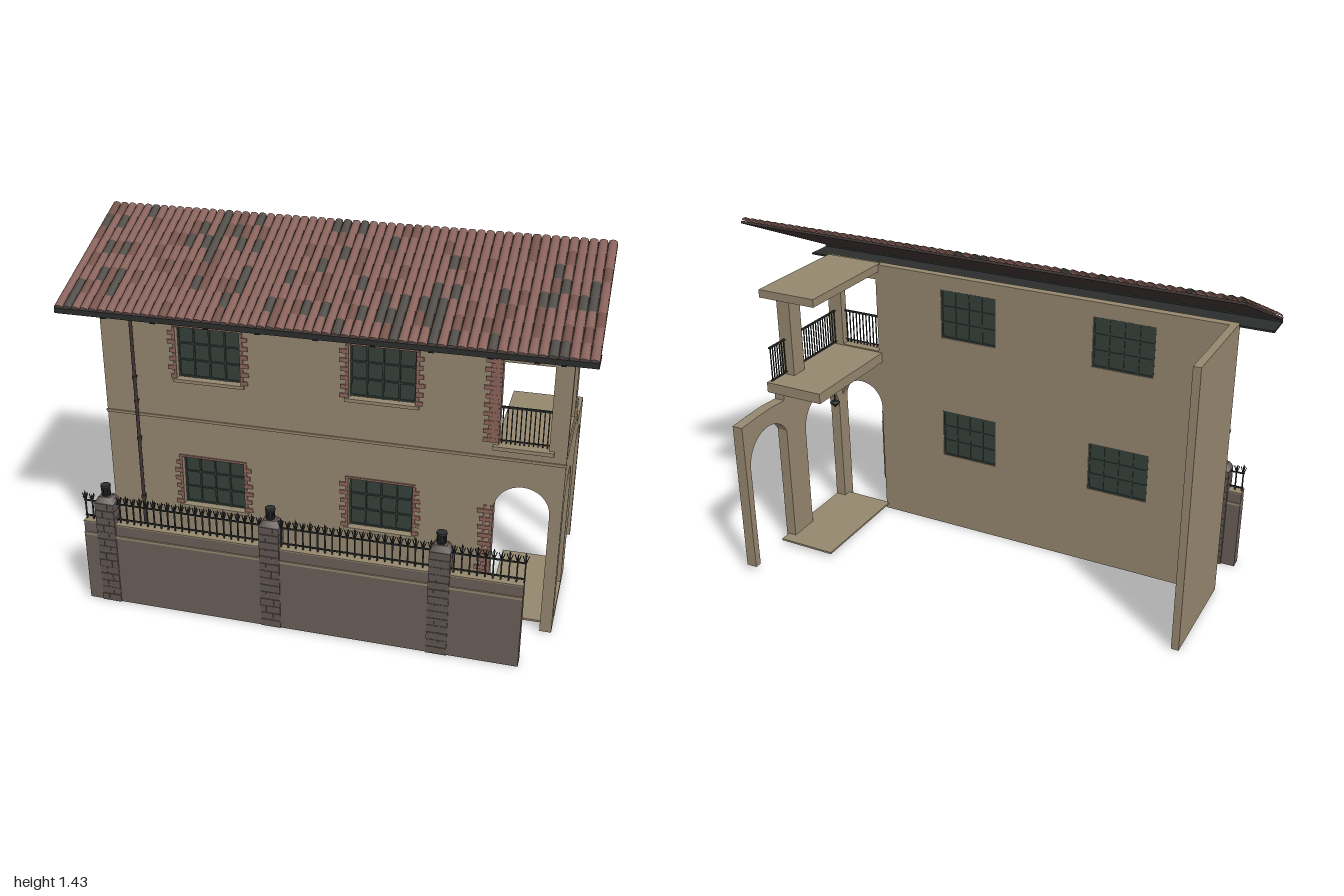
import * as THREE from 'three';
import { mergeGeometries } from 'three/addons/utils/BufferGeometryUtils.js';

const mat = (name, color, side = THREE.FrontSide) => {
  const m = new THREE.MeshStandardMaterial({ color, side });
  m.name = name;
  return m;
};

export function createModel() {
  const M = {
    plaster: mat('plaster', 0x95876f),
    stone: mat('fence stone', 0x6a5e58),
    block: mat('pillar stone', 0x5f5550),
    brick: mat('brick', 0x8a655b),
    tile: mat('terracotta tile', 0x87615a, THREE.DoubleSide),
    tileBrown: mat('brown tile', 0x735249, THREE.DoubleSide),
    tileDark: mat('weathered tile', 0x4f4b46, THREE.DoubleSide),
    deck: mat('roof timber', 0x3d3432),
    iron: mat('iron', 0x2a2e2c),
    glass: mat('window glass', 0x35403a),
  };
  const model = new THREE.Group();
  const add = (name, geo, material, parent = model) => {
    const mesh = new THREE.Mesh(Array.isArray(geo) ? mergeGeometries(geo) : geo, material);
    mesh.name = name;
    parent.add(mesh);
    return mesh;
  };
  // Box given by its limits
  const box = (x0, x1, y0, y1, z0, z1) =>
    new THREE.BoxGeometry(x1 - x0, y1 - y0, z1 - z0).translate((x0 + x1) / 2, (y0 + y1) / 2, (z0 + z1) / 2);
  const poly = (C, pts) => new C(pts.map(p => new THREE.Vector2(...p)));
  const rectPath = (a, b, c, d) => poly(THREE.Path, [[a, c], [b, c], [b, d], [a, d]]);
  const rectShape = (a, b, c, d) => poly(THREE.Shape, [[a, c], [b, c], [b, d], [a, d]]);
  const archPts = (a, b, y0, top) => {
    const r = (b - a) / 2, pts = [[a, y0]];
    for (let i = 0; i <= 16; i++) {
      const t = Math.PI * (1 - i / 16);
      pts.push([(a + b) / 2 + r * Math.cos(t), top - r + r * Math.sin(t)]);
    }
    return [...pts, [b, y0]];
  };
  const extrude = (shape, depth) => new THREE.ExtrudeGeometry(shape, { depth, bevelEnabled: false });
  // Wall drawn in (z, y) and extruded along x
  const sideWall = (shape, x0, x1) => extrude(shape, x1 - x0).rotateY(-Math.PI / 2).translate(x1, 0, 0);
  let seed = 7;
  const rand = () => (seed = (seed * 16807) % 2147483647) / 2147483647;

  // Front wall with window, balcony and arch openings
  const windows = [[-0.565, -0.31], [0.11, 0.36]].flatMap(([a, b]) => [[a, b, 0.89, 1.1], [a, b, 0.345, 0.555]]);
  const front = poly(THREE.Shape, [[-0.87, 0], [0.665, 0], ...archPts(0.665, 0.87, 0.022, 0.61),
    [0.87, 0], [0.915, 0], [0.915, 1.16], [-0.87, 1.16]]);
  windows.forEach(w => front.holes.push(rectPath(...w)));
  front.holes.push(rectPath(0.67, 0.85, 0.77, 1.095));
  add('frontWall', extrude(front, 0.035).translate(0, 0, 0.21), M.plaster);
  add('sideWall', box(-0.87, -0.84, 0, 1.16, -0.21, 0.21), M.plaster);
  add('stringCourse', box(-0.873, 0.918, 0.713, 0.724, 0.245, 0.25), M.plaster);

  // Windows: pane, muntins, sill, and toothed brick edging
  const teeth = (x, dir, y0, y1) => {
    const list = [], n = Math.round((y1 - y0) / 0.0175), h = (y1 - y0) / n;
    for (let i = 0; i < n; i++) {
      const w = i % 2 ? 0.012 : 0.024 + rand() * 0.012;
      list.push(box(Math.min(x, x + dir * w), Math.max(x, x + dir * w), y0 + i * h, y0 + (i + 1) * h - 0.001, 0.245, 0.25));
    }
    return list;
  };
  windows.forEach(([a, b, y0, y1]) => {
    const g = new THREE.Group();
    g.name = 'window';
    model.add(g);
    add('pane', box(a, b, y0, y1, 0.216, 0.222), M.glass, g);
    const bars = [];
    for (let i = 0; i <= 4; i++) {
      const x = a + 0.004 + (b - a - 0.008) * i / 4;
      bars.push(box(x - 0.003, x + 0.003, y0, y1, 0.212, 0.228));
    }
    for (let i = 0; i <= 3; i++) {
      const y = y0 + 0.004 + (y1 - y0 - 0.008) * i / 3;
      bars.push(box(a, b, y - 0.003, y + 0.003, 0.212, 0.227));
    }
    add('muntins', bars, M.glass, g);
    add('brickEdging', [...teeth(a, -1, y0, y1), ...teeth(b, 1, y0, y1),
      box(a - 0.012, b + 0.012, y1, y1 + 0.008, 0.245, 0.25)], M.brick, g);
    add('sill', box(a - 0.015, b + 0.015, y0 - 0.013, y0, 0.235, 0.258), M.plaster, g);
  });
  add('upperQuoins', teeth(0.67, -1, 0.78, 1.105).concat(teeth(0.64, -1, 0.78, 1.105), box(0.638, 0.66, 0.78, 1.105, 0.245, 0.249)), M.brick);
  add('lowerQuoins', teeth(0.665, -1, 0.03, 0.52).concat(teeth(0.64, -1, 0.03, 0.52)), M.brick);

  // Loggia: arched side wall, rear arch, floors, ceiling and columns
  const side = rectShape(-0.21, 0.21, 0, 0.73);
  side.holes.push(poly(THREE.Path, archPts(-0.08, 0.18, 0.025, 0.605)));
  add('archedSideWall', sideWall(side, 0.87, 0.915), M.plaster);
  const rear = poly(THREE.Shape, [...archPts(-0.46, -0.195, 0.025, 0.605).reverse(),
    [-0.49, 0.025], [-0.49, 0.668], [-0.4, 0.674], [-0.3, 0.677], [-0.19, 0.67], [-0.19, 0.025]].reverse());
  add('rearArch', sideWall(rear, 0.87, 0.915), M.plaster);
  add('groundFloor', box(0.655, 0.905, 0.018, 0.026, -0.26, 0.215), M.plaster);
  add('balconyFloor', box(0.655, 0.91, 0.722, 0.765, -0.26, 0.215), M.plaster);
  add('balconySill', box(0.65, 0.87, 0.755, 0.77, 0.215, 0.262), M.plaster);
  add('loggiaCeiling', box(0.655, 0.91, 1.13, 1.163, -0.26, 0.228), M.plaster);
  add('balconyColumn', box(0.85, 0.91, 0.765, 1.13, -0.155, -0.082), M.plaster);

  // Balcony railings
  const balusters = (n, place) => Array.from({ length: n }, (_, i) => {
    const [x, z] = place((i + 0.5) / n);
    return box(x - 0.002, x + 0.002, 0.775, 0.918, z - 0.002, z + 0.002);
  });
  add('frontRailing', [...balusters(11, t => [0.67 + 0.18 * t, 0.235]),
    box(0.67, 0.85, 0.915, 0.922, 0.231, 0.239), box(0.67, 0.85, 0.785, 0.789, 0.232, 0.238)], M.iron);
  [[-0.082, 0.21, 17], [-0.26, -0.155, 7]].forEach(([z0, z1, n]) => add('sideRailing', [
    ...balusters(n, t => [0.885, z0 + (z1 - z0) * t]),
    box(0.881, 0.889, 0.915, 0.922, z0, z1), box(0.882, 0.888, 0.775, 0.781, z0, z1)], M.iron));

  // Hanging lamps
  [[0.57, 0.722], [1.107, 1.13]].forEach(([y, top]) => add('hangingLamp', [
    new THREE.ConeGeometry(0.022, 0.024, 8).rotateX(Math.PI).translate(0.77, y + 0.012, 0.005),
    new THREE.CylinderGeometry(0.012, 0.022, 0.008, 8).translate(0.77, y + 0.027, 0.005),
    box(0.768, 0.772, y + 0.02, Math.max(top, y + 0.022), 0.003, 0.007)], M.iron));

  // Roof: sloped deck with overlapping half-round tiles
  const roof = new THREE.Group();
  roof.name = 'roof';
  roof.position.set(0, 1.168, 0.348);
  roof.rotation.x = 0.415;
  model.add(roof);
  const L = 0.612, cols = 58, rows = 8, cw = 2 / cols, rl = L / rows;
  add('roofDeck', box(-1, 1, -0.01, 0, -L, 0), M.deck, roof);
  const tiles = { tile: [], tileBrown: [], tileDark: [] };
  for (let c = 0; c < cols; c++) for (let r = 0; r < rows; r++) {
    const k = rand();
    tiles[k < 0.13 ? 'tileDark' : k < 0.3 ? 'tileBrown' : 'tile'].push(
      new THREE.CylinderGeometry(cw * 0.45, cw * 0.5, rl, 6, 1, true, -Math.PI / 2, Math.PI)
        .rotateX(-Math.PI / 2).scale(1, 0.75, 1).rotateX(0.045)
        .translate(-1 + (c + 0.5) * cw, 0.0025, -(r + 0.5) * rl));
  }
  Object.keys(tiles).forEach(k => add(k + 's', tiles[k], M[k], roof));

  // Eaves, brackets and drainpipe
  add('eaves', [box(-1, 1, 1.147, 1.154, 0.235, 0.35), box(-1, 1, 1.147, 1.168, 0.338, 0.35)], M.iron);
  [-0.83, -0.63, -0.42, -0.22, 0, 0.21, 0.42, 0.63, 0.79, 0.88].forEach(x => add('eaveBracket',
    sideWall(poly(THREE.Shape, [[0.245, 1.122], [0.3, 1.122], [0.325, 1.147], [0.245, 1.147]]), x - 0.009, x + 0.009), M.iron));
  const pipe = [new THREE.CylinderGeometry(0.007, 0.007, 1.1, 8).translate(-0.735, 0.59, 0.265)];
  [0.06, 0.36, 0.62, 0.78, 0.88, 1.12].forEach(y => pipe.push(
    new THREE.CylinderGeometry(0.01, 0.01, 0.012, 8).translate(-0.735, y, 0.265),
    box(-0.738, -0.732, y - 0.003, y + 0.003, 0.245, 0.265)));
  add('drainpipe', pipe, M.deck);

  // Street fence: low wall with ledge and coping
  add('fenceWall', [box(-0.89, 0.82, 0, 0.29, 0.443, 0.49), box(-0.89, 0.82, 0.29, 0.345, 0.447, 0.485)], M.stone);
  add('fenceLedge', box(-0.89, 0.82, 0.29, 0.3, 0.442, 0.491), M.plaster);
  add('fenceCoping', box(-0.89, 0.82, 0.345, 0.35, 0.443, 0.489), M.plaster);

  // Fence pillars of stacked stones with lanterns
  const pillarXs = [-0.795, -0.13, 0.515];
  pillarXs.forEach(x => {
    const g = new THREE.Group();
    g.name = 'fencePillar';
    g.position.set(x, 0, 0.464);
    model.add(g);
    add('pillarCore', box(-0.036, 0.036, 0, 0.44, -0.027, 0.027), M.stone, g);
    const stones = [], h = 0.44 / 14;
    for (let r = 0; r < 14; r++) {
      const s = (r % 2 ? 0.012 : -0.012) + (rand() - 0.5) * 0.01, d = 0.029 + rand() * 0.002;
      stones.push(box(-0.039, s - 0.001, r * h, (r + 1) * h - 0.002, -d, d),
        box(s + 0.001, 0.039, r * h, (r + 1) * h - 0.002, -d, d));
    }
    add('pillarStones', stones, M.block, g);
    add('pillarCap', new THREE.CylinderGeometry(0.024 * Math.SQRT2, 0.039 * Math.SQRT2, 0.024, 4)
      .rotateY(Math.PI / 4).scale(1, 1, 0.8).translate(0, 0.452, 0), M.block, g);
    const lantern = [new THREE.CylinderGeometry(0.02, 0.016, 0.008, 8).translate(0, 0.468, 0),
      new THREE.CylinderGeometry(0.014, 0.012, 0.04, 8).translate(0, 0.486, 0),
      new THREE.CylinderGeometry(0.02, 0.021, 0.008, 8).translate(0, 0.506, 0)];
    for (let i = 0; i < 8; i++) lantern.push(box(-0.002, 0.002, 0.468, 0.506, 0.014, 0.018).rotateY(i * Math.PI / 4));
    add('lantern', lantern, M.iron, g);
  });

  // Fence ironwork: pickets with spear tips and splayed prongs
  const iron = [box(-0.89, 0.82, 0.362, 0.367, 0.463, 0.469), box(-0.89, 0.82, 0.428, 0.433, 0.463, 0.469)];
  for (let i = 0; i <= 60; i++) {
    const x = -0.885 + i * 0.0284;
    if (pillarXs.some(p => Math.abs(p - x) < 0.036)) continue;
    const top = i % 2 ? 0.445 : 0.458;
    iron.push(box(x - 0.0025, x + 0.0025, 0.35, top, 0.4635, 0.4685),
      new THREE.ConeGeometry(0.0045, 0.018, 4).translate(x, top + 0.008, 0.466));
    for (const s of [-1, 1]) {
      iron.push(box(-0.0015, 0.0015, 0, 0.036, -0.0015, 0.0015).rotateZ(-s * 0.3).translate(x, 0.425, 0.466),
        box(-0.0015, 0.0015, 0, 0.03, -0.0015, 0.0015).rotateX(s * 0.6).translate(x, 0.43, 0.466));
    }
  }
  add('fenceRailing', iron, M.iron);

  return model;
}
